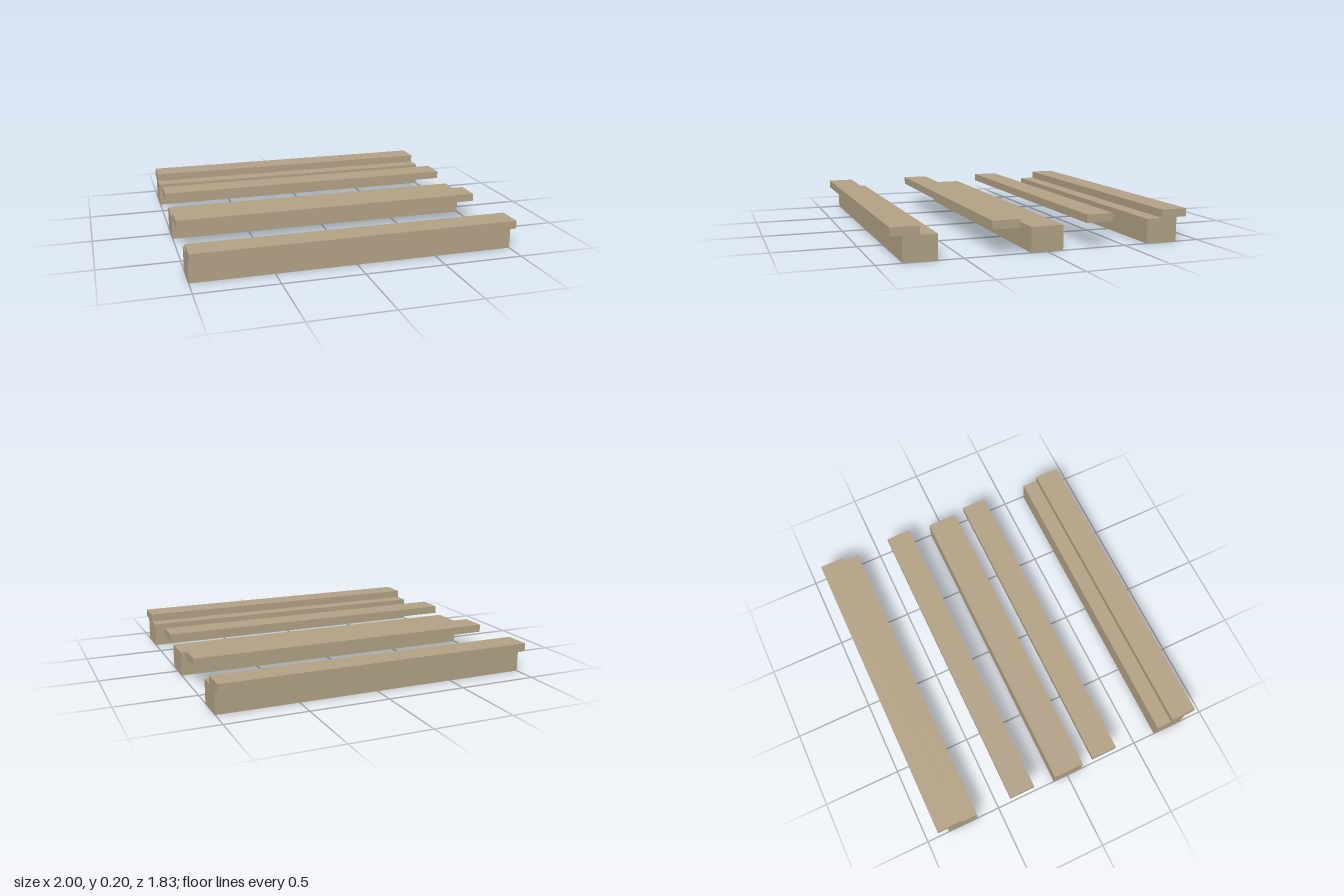
import * as THREE from 'three';

const LENGTH = 2;
const BEAM = { width: 0.2, height: 0.15 };
const PLANK = { width: 0.1667, height: 0.05 };

export function createModel() {
  const group = new THREE.Group();
  group.name = 'palletSlats';
  const wood = new THREE.MeshStandardMaterial({ color: 0xb2a286 });

  // A full-length wooden bar resting at the given height
  const addBars = (name, size, bottom, positions) => {
    const geometry = new THREE.BoxGeometry(LENGTH, size.height, size.width);
    positions.forEach((z, i) => {
      const bar = new THREE.Mesh(geometry, wood);
      bar.name = name + (i + 1);
      bar.position.set(0, bottom + size.height / 2, z);
      group.add(bar);
    });
  };

  // Square support beams on the ground
  addBars('beam', BEAM, 0, [0.75, 0, -0.75]);
  // Thin planks level with the tops of the beams
  addBars('plank', PLANK, BEAM.height, [0.8333, 0.25, -0.3333, -0.8333]);

  return group;
}
